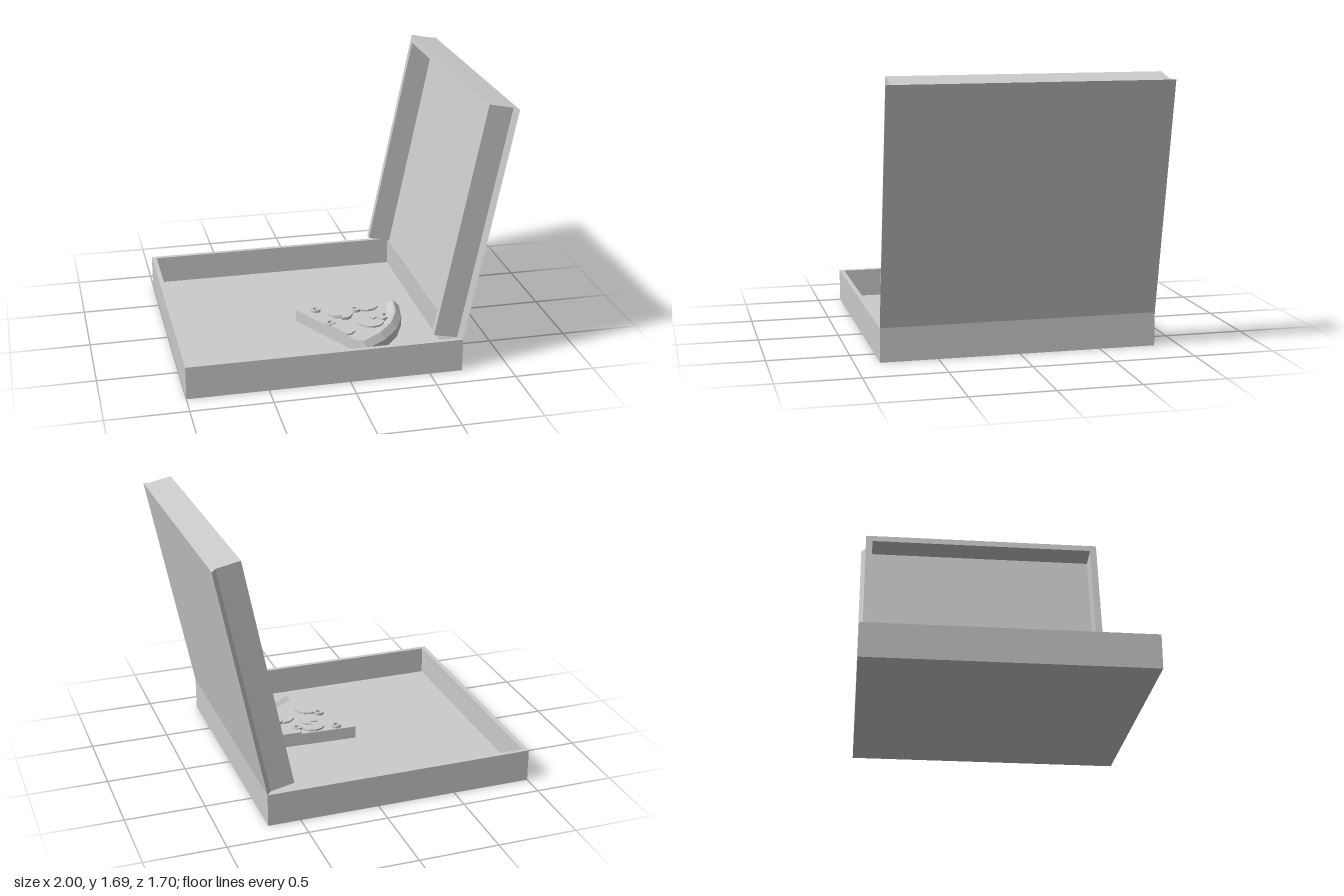
import * as THREE from 'three';

const material = new THREE.MeshStandardMaterial({ color: 0xcccccc, flatShading: true, side: THREE.DoubleSide });

function add(group, name, geometry, x = 0, y = 0, z = 0) {
  const mesh = new THREE.Mesh(geometry, material);
  mesh.name = name;
  mesh.position.set(x, y, z);
  group.add(mesh);
  return mesh;
}

// Upright prism from an outline of [x, z] points, with an optional hole
function prism(points, height, hole) {
  const toV = ([x, z]) => new THREE.Vector2(x, -z);
  const shape = new THREE.Shape(points.map(toV));
  if (hole) shape.holes.push(new THREE.Path(hole.map(toV)));
  return new THREE.ExtrudeGeometry(shape, { depth: height, bevelEnabled: false }).rotateX(-Math.PI / 2);
}

const rect = (x0, x1, z) => [[x0, -z], [x1, -z], [x1, z], [x0, z]];

function ring(cx, cz, r, sides, turn = 0) {
  return Array.from({ length: sides }, (_, i) => {
    const a = turn + (i / sides) * Math.PI * 2;
    return [cx + r * Math.cos(a), cz + r * Math.sin(a)];
  });
}

function createBase() {
  const base = new THREE.Group();
  base.name = 'boxBase';
  add(base, 'baseWalls', prism(rect(-1, 0.705, 0.85), 0.208, rect(-0.97, 0.675, 0.82)));
  add(base, 'baseFloor', new THREE.BoxGeometry(1.645, 0.026, 1.64), -0.1475, 0.013, 0);
  return base;
}

// Lid hinged on the +x edge, tilted slightly past upright
function createLid() {
  const length = 1.475;
  const lid = new THREE.Group();
  lid.name = 'lid';
  lid.position.set(0.705, 0.208, 0);
  lid.rotation.z = -0.2;
  add(lid, 'lidPanel', prism([[0, -0.85], [0, 0.85], [-0.03, 0.82], [-0.03, -0.82]], length));
  for (const side of [-1, 1]) {
    add(lid, side > 0 ? 'frontLidFlap' : 'backLidFlap',
      new THREE.BoxGeometry(0.15, length, 0.045), -0.105, length / 2, side * 0.7975);
  }
  add(lid, 'endLidFlap', new THREE.BoxGeometry(0.15, 0.045, 1.55), -0.105, length - 0.0225, 0);
  return lid;
}

// Slice built around its tip, spreading between two angles from +x toward +z
function createSlice() {
  const slice = new THREE.Group();
  slice.name = 'pizzaSlice';
  slice.position.set(-0.16, 0, 0);
  const a0 = 0.044, a1 = 1.075, top = 0.108;
  const polar = (r, a) => [r * Math.cos(a), r * Math.sin(a)];

  const wedge = [[0, 0]];
  for (let i = 0; i <= 4; i++) wedge.push(polar(0.615, a0 + ((a1 - a0) * i) / 4));
  add(slice, 'sliceBody', prism(wedge, top - 0.026), 0, 0.026, 0);

  // Crust swept round the outer arc, with capped ends
  const profile = [[0.615, 0.026], [0.687, 0.026], [0.687, 0.085], [0.65, 0.125], [0.635, 0.125], [0.6, top], [0.615, 0.026]]
    .map(([r, y]) => new THREE.Vector2(r, y));
  add(slice, 'crust', new THREE.LatheGeometry(profile, 4, Math.PI / 2 - a1, a1 - a0));
  for (const a of [a0, a1]) {
    add(slice, 'crustEnd', new THREE.ShapeGeometry(new THREE.Shape(profile.slice(0, -1)))).rotation.y = -a;
  }

  // Toppings are trimmed to the two cut sides of the slice
  const trim = ([x, z]) => {
    const a = Math.atan2(z, x), r = Math.hypot(x, z);
    if (a < a0) return polar(r * Math.cos(a0 - a), a0);
    if (a > a1) return polar(r * Math.cos(a - a1), a1);
    return [x, z];
  };
  const topping = (name, outline, height, hole) =>
    add(slice, name, prism(outline.map(trim), height, hole), 0, top - 0.002, 0);

  for (const [x, z, r] of [[0.27, 0.11, 0.088], [0.43, 0.28, 0.09], [0.22, 0.36, 0.09], [0.45, 0.035, 0.09]]) {
    topping('pepperoni', ring(x, z, r, 12), 0.014);
  }

  const mushroom = [[-0.025, 0.06], [-0.025, 0.01], [-0.06, 0.01], [-0.055, -0.03], [-0.025, -0.055],
    [0.025, -0.055], [0.055, -0.03], [0.06, 0.01], [0.025, 0.01], [0.025, 0.06]];
  for (const [x, z, turn] of [[0.275, 0.16, 1.7], [0.49, 0.235, -0.6]]) {
    const c = Math.cos(turn), s = Math.sin(turn);
    topping('mushroom', mushroom.map(([u, v]) => [x + u * c - v * s, z + u * s + v * c]), 0.022);
  }

  for (const [x, z] of [[0.12, 0.045], [0.375, 0.095], [0.17, 0.26]]) {
    topping('oliveRing', ring(x, z, 0.033, 10), 0.02, ring(x, z, 0.018, 10));
  }
  return slice;
}

export function createModel() {
  const model = new THREE.Group();
  model.name = 'openPizzaBox';
  model.add(createBase(), createLid(), createSlice());
  return model;
}
